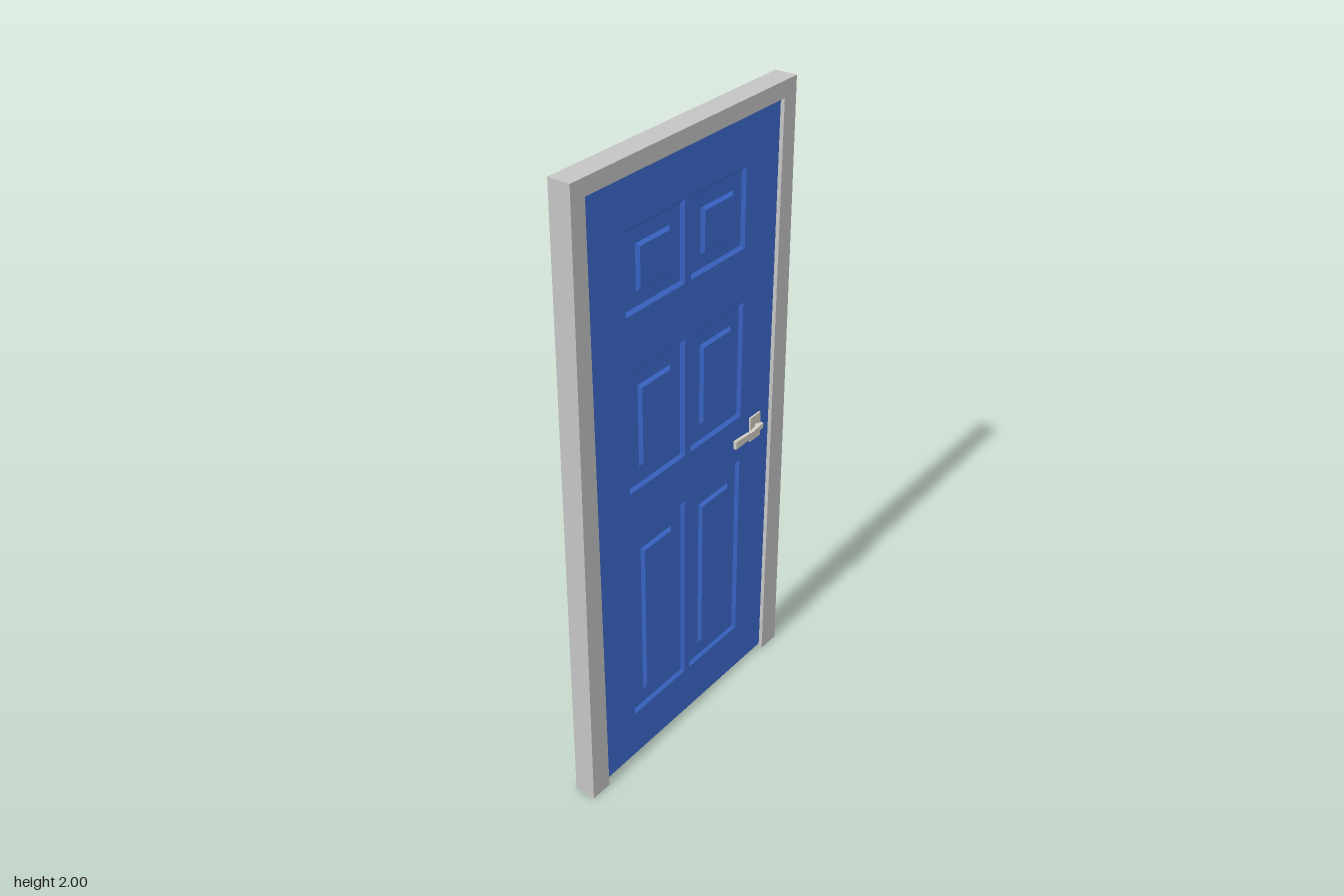
import * as THREE from 'three';

const mat = (name, color) => {
  const m = new THREE.MeshStandardMaterial({ color });
  m.name = name;
  return m;
};

const FRAME = 0.035; // half depth of the frame
const SLAB = 0.023; // half thickness of the door leaf
const GROOVE = 0.009; // depth of the panel recess

// Shape or hole outline from [z, y] points; z is flipped so it extrudes along x
const outline = (pts, Type = THREE.Shape) =>
  new Type(pts.map(([z, y]) => new THREE.Vector2(-z, y)));

// Extrude an outline from x0 to x1
function slabGeometry(shape, x0, x1) {
  const g = new THREE.ExtrudeGeometry(shape, { depth: x1 - x0, bevelEnabled: false });
  g.rotateY(Math.PI / 2);
  g.translate(x0, 0, 0);
  return g;
}

// Corners of a rectangle [z0, z1, y0, y1], shrunk by d
const corners = ([z0, z1, y0, y1], d = 0) => [
  [z0 + d, y0 + d], [z0 + d, y1 - d], [z1 - d, y1 - d], [z1 - d, y0 + d],
];

// Raised panel: bevel down, flat groove, bevel up to a flat field
function panelGeometry(outer, inner) {
  const low = SLAB - GROOVE;
  const rings = [
    [corners(outer), SLAB], [corners(outer, 0.01), low],
    [corners(inner, -0.005), low], [corners(inner, 0.004), SLAB],
  ].map(([c, x]) => c.map(([z, y]) => [x, y, z]));
  const pos = [];
  const quad = (a, b, c, d) => pos.push(...a, ...b, ...c, ...a, ...c, ...d);
  for (let r = 0; r < 3; r++) {
    for (let i = 0; i < 4; i++) {
      const j = (i + 1) % 4;
      quad(rings[r][i], rings[r][j], rings[r + 1][j], rings[r + 1][i]);
    }
  }
  quad(...rings[3]);
  const g = new THREE.BufferGeometry();
  g.setAttribute('position', new THREE.Float32BufferAttribute(pos, 3));
  g.computeVertexNormals();
  return g;
}

export function createModel() {
  const frameGrey = mat('frame grey', 0xc4c4c4);
  const doorBlue = mat('door blue', 0x3c69cd);
  const handleMetal = mat('handle metal', 0xd2cec4);

  const model = new THREE.Group();
  model.name = 'door';
  const add = (parent, name, geometry, material) => {
    const m = new THREE.Mesh(geometry, material);
    m.name = name;
    parent.add(m);
    return m;
  };

  // Frame: two slightly splayed jambs and a head in one piece
  add(model, 'frame', slabGeometry(outline([
    [0.48, 0], [0.47, 2], [-0.47, 2], [-0.48, 0],
    [-0.403, 0], [-0.415, 1.95], [0.418, 1.95], [0.407, 0],
  ]), -FRAME, FRAME), frameGrey);

  // Panel rows: outer bottom, outer top, inner bottom, inner top
  const rows = [[1.555, 1.8, 1.612, 1.74], [1.0, 1.385, 1.07, 1.322], [0.18, 0.842, 0.246, 0.775]];
  // Panel columns: outer z range, inner z range
  const columns = [[0.014, 0.264, 0.076, 0.206], [-0.26, -0.012, -0.204, -0.07]];
  const panels = [];
  for (const [y0, y1, v0, v1] of rows) {
    for (const [z0, z1, w0, w1] of columns) panels.push([[z0, z1, y0, y1], [w0, w1, v0, v1]]);
  }

  // Door leaf with an opening for each panel
  const leaf = outline([[0.406, 0.015], [0.417, 1.949], [-0.414, 1.949], [-0.402, 0.015]]);
  for (const [outer] of panels) leaf.holes.push(outline(corners(outer), THREE.Path));
  add(model, 'doorLeaf', slabGeometry(leaf, -SLAB, SLAB), doorBlue);

  // Lever outline: wide grip, thin neck
  const lever = outline([
    [-0.208, 0.915], [-0.208, 0.942], [-0.278, 0.938], [-0.285, 0.935],
    [-0.348, 0.942], [-0.348, 0.924], [-0.285, 0.924], [-0.278, 0.917],
  ]);

  // Panels and handle on both faces
  for (const side of [1, -1]) {
    const face = new THREE.Group();
    face.name = side > 0 ? 'leftFace' : 'rightFace';
    face.scale.x = side;
    model.add(face);
    for (const [outer, inner] of panels) add(face, 'raisedPanel', panelGeometry(outer, inner), doorBlue);

    const handle = new THREE.Group();
    handle.name = 'handle';
    face.add(handle);
    add(handle, 'handlePlate', new THREE.BoxGeometry(0.008, 0.084, 0.052), handleMetal)
      .position.set(SLAB + 0.002, 0.929, -0.332);
    const spindle = add(handle, 'spindle', new THREE.CylinderGeometry(0.008, 0.008, 0.018, 12), handleMetal);
    spindle.rotation.z = Math.PI / 2;
    spindle.position.set(0.032, 0.932, -0.336);
    add(handle, 'lever', slabGeometry(lever, 0.036, 0.047), handleMetal);
  }

  return model;
}
